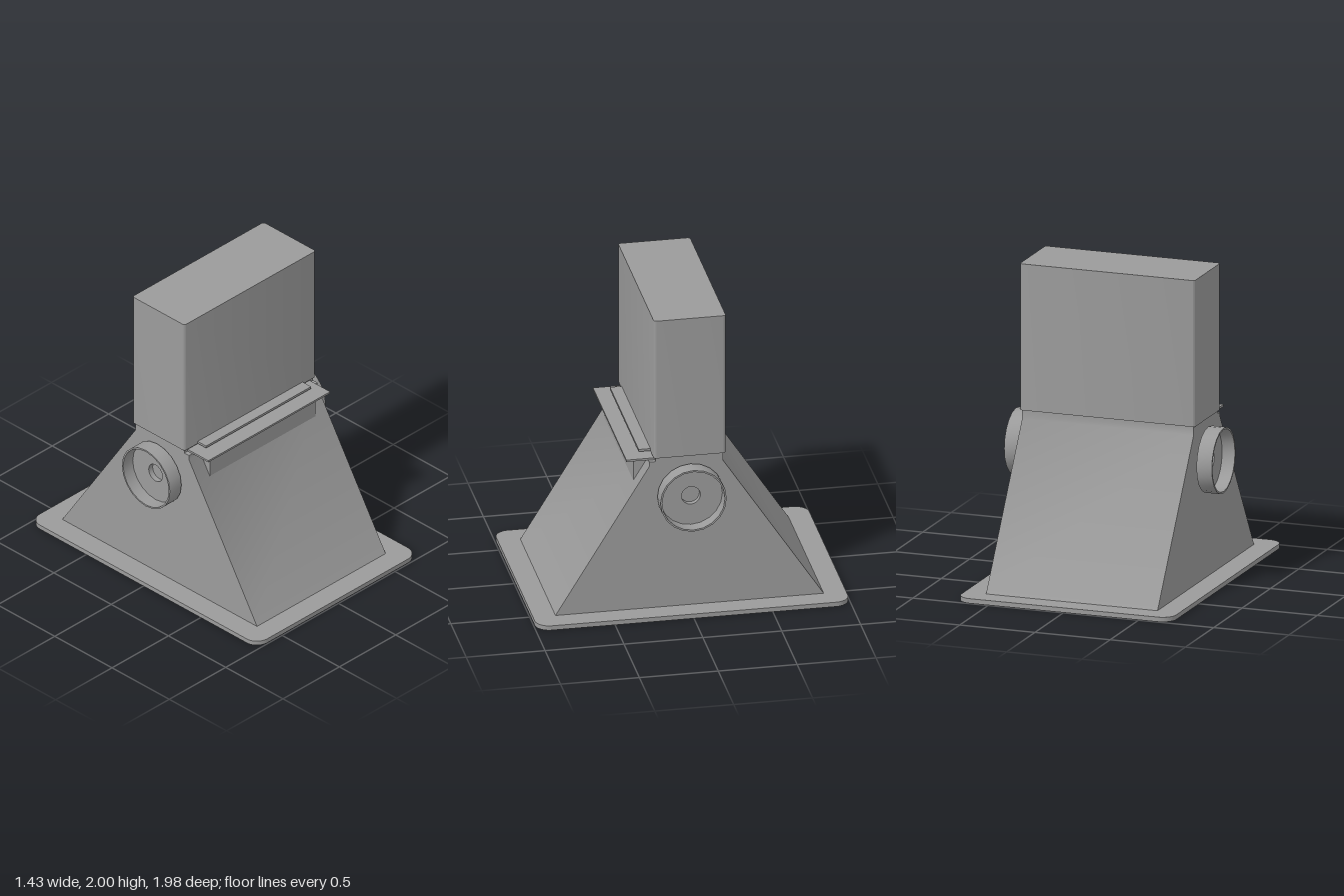
import * as THREE from 'three';
import { toCreasedNormals } from 'three/addons/utils/BufferGeometryUtils.js';

export function createModel() {
  const group = new THREE.Group();
  const material = new THREE.MeshStandardMaterial({ color: 0x9b9b9b });

  function add(name, geometry, parent = group) {
    const mesh = new THREE.Mesh(geometry, material);
    mesh.name = name;
    parent.add(mesh);
    return mesh;
  }

  // Box given by its half width and its lower and upper bounds
  function box(name, x, y0, y1, z0, z1) {
    const mesh = add(name, new THREE.BoxGeometry(2 * x, y1 - y0, z1 - z0));
    mesh.position.set(0, (y0 + y1) / 2, (z0 + z1) / 2);
  }

  // Upright slab with rounded vertical corners
  function roundedSlab(name, x, z, r, y0, y1) {
    const s = new THREE.Shape();
    s.moveTo(-x + r, -z);
    s.lineTo(x - r, -z);
    s.absarc(x - r, -z + r, r, -Math.PI / 2, 0);
    s.absarc(x - r, z - r, r, 0, Math.PI / 2);
    s.absarc(-x + r, z - r, r, Math.PI / 2, Math.PI);
    s.absarc(-x + r, -z + r, r, Math.PI, Math.PI * 1.5);
    const geo = new THREE.ExtrudeGeometry(s, { depth: y1 - y0, bevelEnabled: false, curveSegments: 8 });
    geo.rotateX(-Math.PI / 2);
    geo.translate(0, y0, 0);
    add(name, toCreasedNormals(geo, 0.7));
  }

  // Base plate and upper housing
  roundedSlab('basePlate', 0.714, 0.992, 0.09, 0, 0.03);
  roundedSlab('upperHousing', 0.582, 0.228, 0.018, 1.057, 2);

  // Sloped pedestal: side profile (z, y) extruded across the width
  const profile = [
    [0.85, 0.03], [0.255, 1.0], [0.255, 1.03], [0.215, 1.03],
    [0.215, 1.06], [-0.213, 1.06], [-0.213, 1.0], [-0.85, 0.03],
  ].map(([z, y]) => new THREE.Vector2(-z, y));
  const pedestal = new THREE.ExtrudeGeometry(new THREE.Shape(profile), { depth: 1.14, bevelEnabled: false });
  pedestal.translate(0, 0, -0.57);
  pedestal.rotateY(Math.PI / 2);
  add('pedestal', toCreasedNormals(pedestal, 0.7));

  // Front shelf, its raised strip and the bracket below
  box('frontShelf', 0.54, 1.03, 1.043, 0.21, 0.395);
  box('shelfStrip', 0.465, 1.058, 1.073, 0.215, 0.302);
  box('shelfBracket', 0.468, 0.866, 1.03, 0.22, 0.337);

  // Side knobs: open cups on short hollow axles, profile (radius, distance)
  const cup = [
    [0.068, 0.56], [0.068, 0.588], [0.21, 0.588], [0.21, 0.69],
    [0.199, 0.69], [0.199, 0.605], [0.06, 0.605], [0.06, 0.56],
  ].map(([r, d]) => new THREE.Vector2(r, d));
  const knobGeometry = toCreasedNormals(new THREE.LatheGeometry(cup, 20), 0.7);
  for (const side of [1, -1]) {
    const knob = add(side > 0 ? 'leftKnob' : 'rightKnob', knobGeometry);
    knob.position.set(0, 0.795, -0.002);
    knob.rotation.z = -side * Math.PI / 2;
  }

  return group;
}
